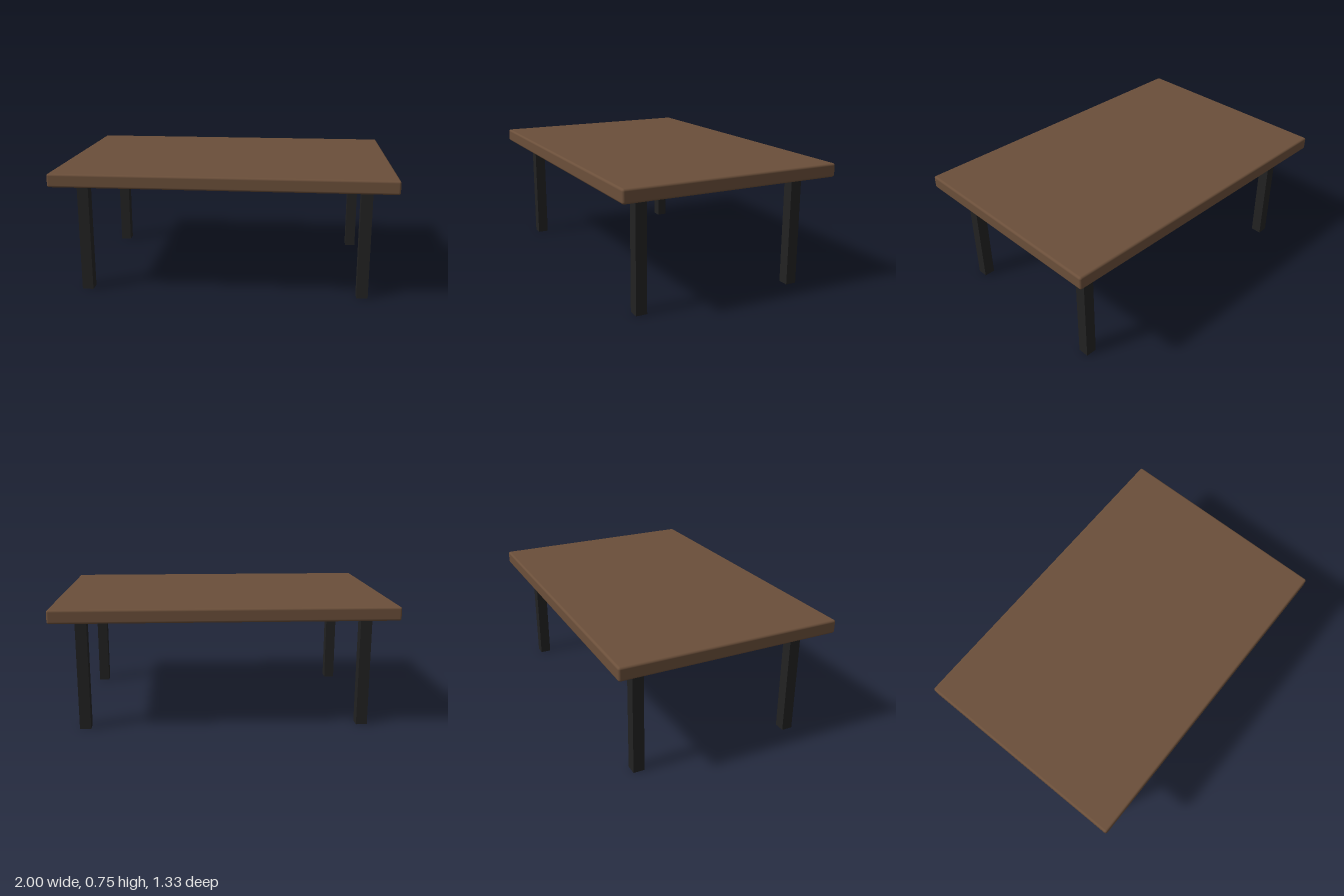
import * as THREE from 'three';
import { RoundedBoxGeometry } from 'three/addons/geometries/RoundedBoxGeometry.js';

export function createModel() {
  const table = new THREE.Group();
  table.name = 'table';

  const wood = new THREE.MeshStandardMaterial({ color: 0x6b4f3a });
  wood.name = 'brown wood';
  const metal = new THREE.MeshStandardMaterial({ color: 0x222222 });
  metal.name = 'black metal';

  // Table top with softly rounded edges
  const topHeight = 0.08, legHeight = 0.67, legWidth = 0.067;
  const top = new THREE.Mesh(new RoundedBoxGeometry(2, topHeight, 1.333, 4, 0.013), wood);
  top.name = 'tableTop';
  top.position.y = legHeight + topHeight / 2;
  table.add(top);

  // Four square legs, set in from the corners
  const legGeometry = new THREE.BoxGeometry(legWidth, legHeight, legWidth);
  for (const [side, x] of [['Left', 0.833], ['Right', -0.833]]) {
    for (const [end, z] of [['front', 0.5], ['back', -0.5]]) {
      const leg = new THREE.Mesh(legGeometry, metal);
      leg.name = `${end}${side}Leg`;
      leg.position.set(x, legHeight / 2, z);
      table.add(leg);
    }
  }

  return table;
}
